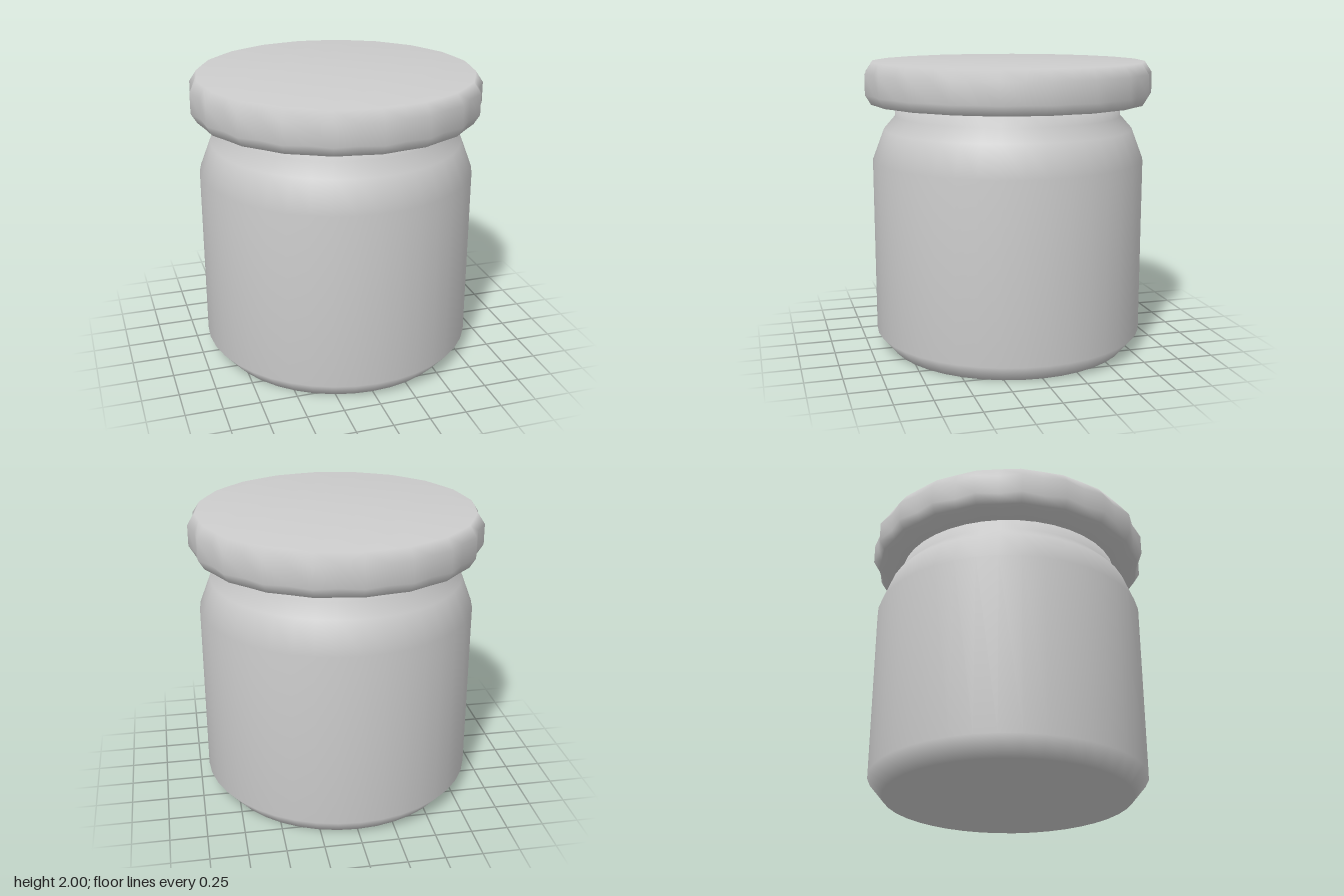
import * as THREE from 'three';
import { mergeVertices } from 'three/addons/utils/BufferGeometryUtils.js';

const SEGMENTS = 40;

// Smooth closed lathe; fluted profile points [r, y, dip] shrink on every second column.
function turned(name, profile, material) {
  const points = profile.map(([r, y]) => new THREE.Vector2(r, y));
  let geometry = new THREE.LatheGeometry(points, SEGMENTS);
  const position = geometry.attributes.position;
  for (let i = 0; i < position.count; i++) {
    const column = Math.floor(i / profile.length);
    const dip = profile[i % profile.length][2] ?? 1;
    if (column % 2 === 1) {
      position.setX(i, position.getX(i) * dip);
      position.setZ(i, position.getZ(i) * dip);
    }
  }
  // Weld the seam so the shading runs all the way round
  geometry.deleteAttribute('uv');
  geometry.deleteAttribute('normal');
  geometry = mergeVertices(geometry, 1e-4);
  geometry.computeVertexNormals();
  const mesh = new THREE.Mesh(geometry, material);
  mesh.name = name;
  return mesh;
}

export function createModel() {
  const group = new THREE.Group();
  group.name = 'jar';
  const grey = new THREE.MeshStandardMaterial({ color: 0xcccccc });
  grey.name = 'light grey';

  // Body with bevelled foot, sloping shoulder and neck
  group.add(turned('jarBody', [
    [0, 0], [0.84, 0], [0.94, 0.12], [0.94, 1.33], [0.86, 1.54],
    [0.78, 1.63], [0.775, 1.78], [0, 1.78],
  ], grey));

  // Lid with twenty flutes around its rim
  group.add(turned('lid', [
    [0, 1.7], [0.77, 1.7], [0.95, 1.72, 0.985], [0.99, 1.785, 0.97],
    [0.99, 1.925, 0.97], [0.94, 2, 0.99], [0, 2],
  ], grey));

  return group;
}
